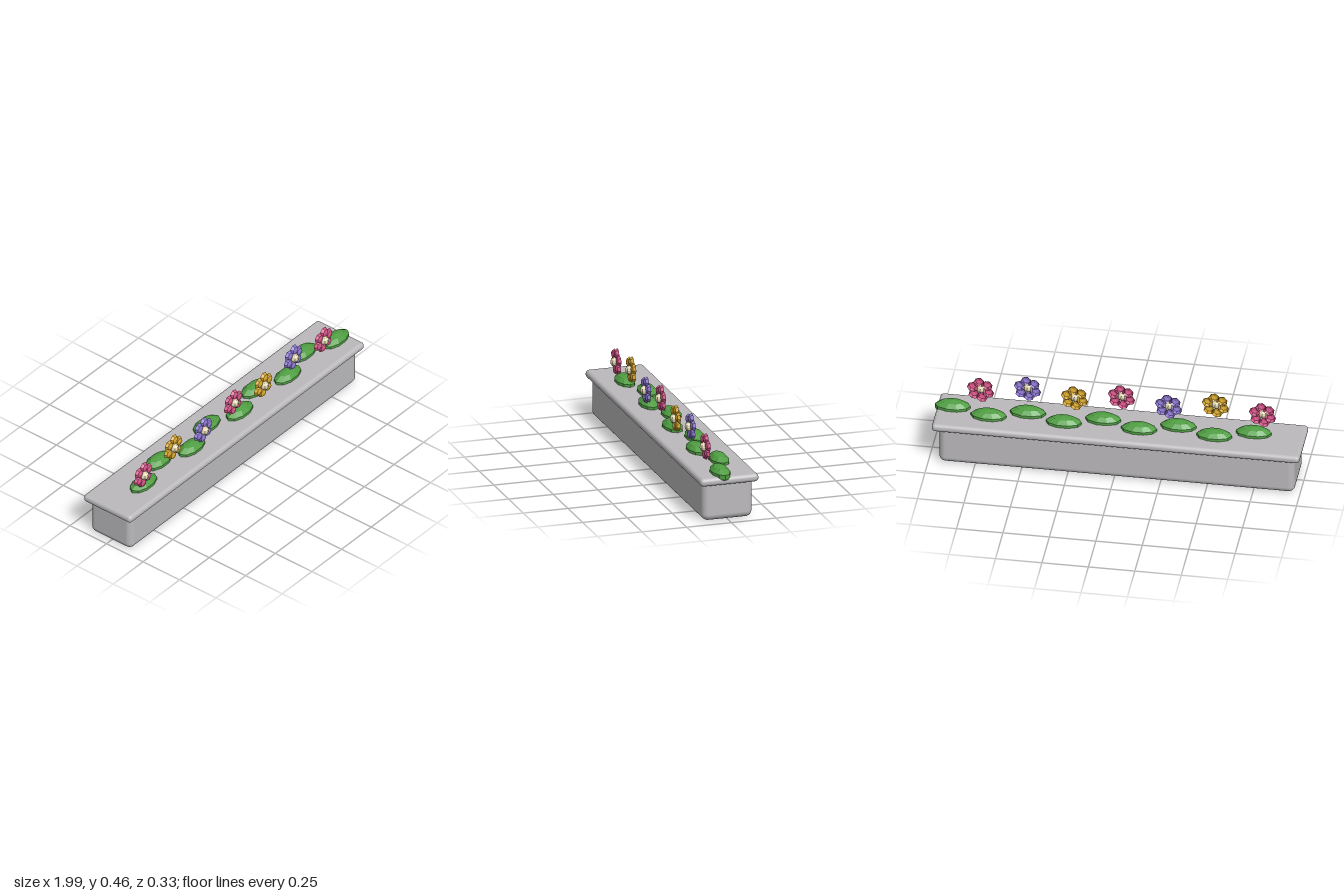
import * as THREE from 'three';
import { RoundedBoxGeometry } from 'three/addons/geometries/RoundedBoxGeometry.js';

function material(name, color, options = {}) {
  const m = new THREE.MeshStandardMaterial({ color, ...options });
  m.name = name;
  return m;
}

function addMesh(parent, name, geometry, mat, x, y, z) {
  const mesh = new THREE.Mesh(geometry, mat);
  mesh.name = name;
  mesh.position.set(x, y, z);
  parent.add(mesh);
  return mesh;
}

export function createModel() {
  const model = new THREE.Group();
  model.name = 'flowerBox';

  const stone = material('stone grey', 0xbbb9bc);
  const leaf = material('leaf green', 0x4f9e42, { flatShading: true });
  const cream = material('cream', 0xe0d6b0, { flatShading: true });
  const petalOptions = { flatShading: true, side: THREE.DoubleSide };
  const petalColours = [
    material('pink', 0xd9558a, petalOptions),
    material('yellow', 0xd9a82c, petalOptions),
    material('purple', 0x8f78d4, petalOptions),
  ];

  // Trough and overhanging rim
  addMesh(model, 'trough', new RoundedBoxGeometry(1.915, 0.24, 0.28, 3, 0.035), stone, -0.0125, 0.12, 0);
  addMesh(model, 'rim', new RoundedBoxGeometry(1.98, 0.044, 0.326, 3, 0.02), stone, -0.01, 0.227, 0);

  // Low bushes in a zigzag row
  const bushGeometry = new THREE.SphereGeometry(1, 10, 5).scale(0.101, 0.043, 0.053);
  for (let i = 0; i < 9; i++) {
    addMesh(model, 'bush', bushGeometry, leaf, -0.725 + i * 0.2025, 0.2505, i % 2 ? -0.031 : 0.029);
  }

  // Flowers: six domed petals, open at the back, around a round centre
  const petalGeometry = new THREE.SphereGeometry(1, 7, 2, 0, Math.PI * 2, 0, Math.PI / 2)
    .rotateX(Math.PI / 2).scale(0.03, 0.03, 0.022);
  const centreGeometry = new THREE.SphereGeometry(0.025, 8, 6);
  for (let i = 0; i < 7; i++) {
    const flower = new THREE.Group();
    flower.name = 'flower';
    flower.position.set(-0.768 + i * 0.253, i % 2 ? 0.388 : 0.354, 0.057);
    for (let p = 0; p < 6; p++) {
      const a = (p * 60 + 20) * Math.PI / 180;
      const petal = addMesh(flower, 'petal', petalGeometry, petalColours[i % 3],
        Math.cos(a) * 0.046, Math.sin(a) * 0.046, 0);
      petal.rotation.z = a;
    }
    addMesh(flower, 'flowerCentre', centreGeometry, cream, 0, 0, 0.014);
    model.add(flower);
  }

  return model;
}
